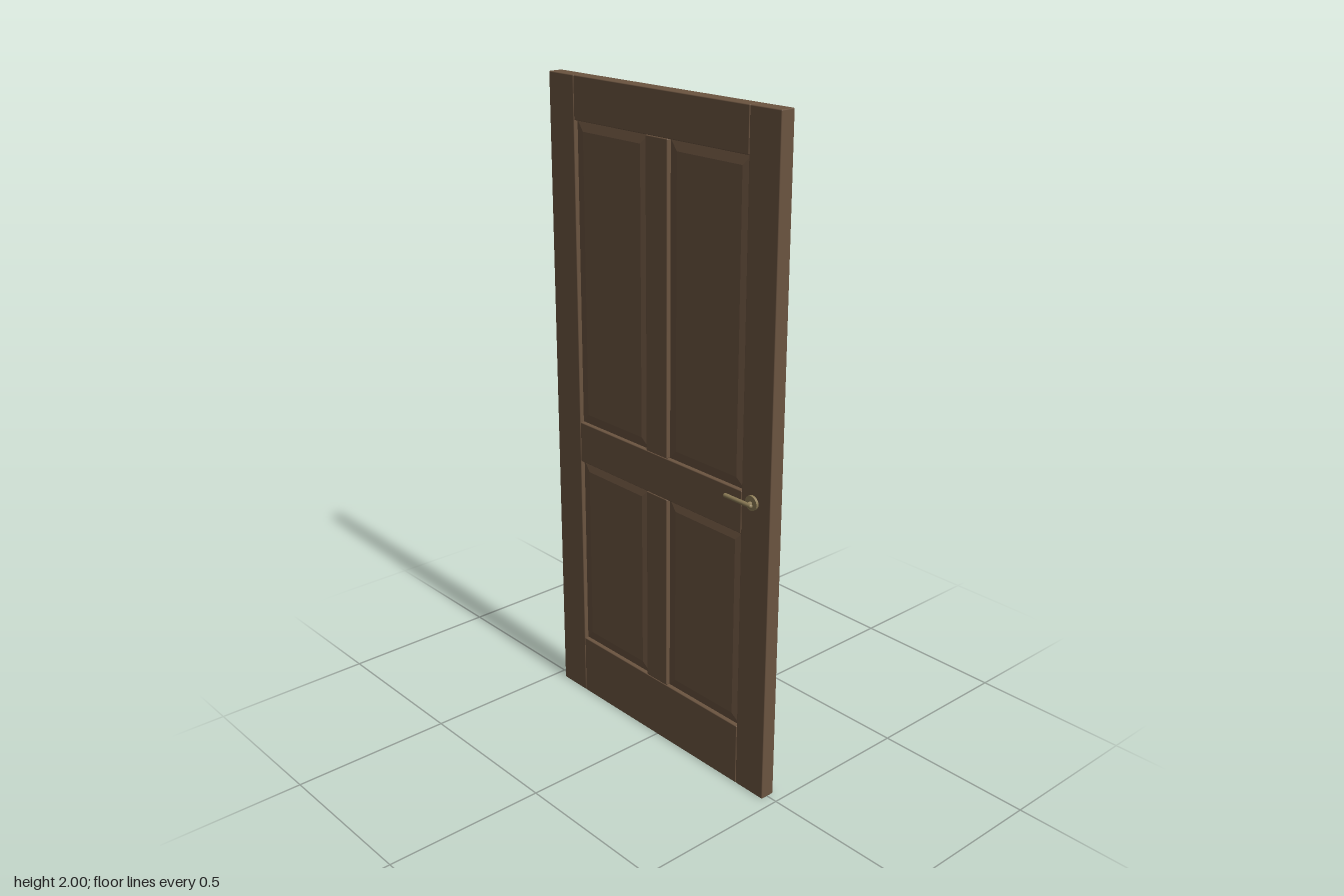
import * as THREE from 'three';
import { RoundedBoxGeometry } from 'three/addons/geometries/RoundedBoxGeometry.js';

const wood = new THREE.MeshStandardMaterial({ color: 0x6b5440 });
wood.name = 'brown wood';
const brass = new THREE.MeshStandardMaterial({ color: 0x8a7a55 });
brass.name = 'aged brass';

const THICK = 0.046;

function add(parent, name, geometry, material, x = 0, y = 0, z = 0) {
  const mesh = new THREE.Mesh(geometry, material);
  mesh.name = name;
  mesh.position.set(x, y, z);
  parent.add(mesh);
  return mesh;
}

// Frame timber with softly eased edges
function timber(parent, name, x0, x1, y0, y1) {
  const geometry = new RoundedBoxGeometry(x1 - x0, y1 - y0, THICK, 2, 0.003);
  add(parent, name, geometry, wood, (x0 + x1) / 2, (y0 + y1) / 2);
}

// Panel with a flat raised field and sloping margins on both faces
function panel(parent, name, x0, x1, y0, y1) {
  const margin = 0.03, core = 0.018, slope = 0.006;
  const w = (x1 - x0) / 2 - margin, h = (y1 - y0) / 2 - margin;
  const field = new THREE.Shape();
  field.moveTo(-w, -h).lineTo(w, -h).lineTo(w, h).lineTo(-w, h).closePath();
  const geometry = new THREE.ExtrudeGeometry(field, {
    depth: core, bevelEnabled: true, bevelThickness: slope,
    bevelSize: margin + 0.004, bevelSegments: 1,
  });
  geometry.translate(0, 0, -core / 2);
  add(parent, name, geometry, wood, (x0 + x1) / 2, (y0 + y1) / 2);
}

// Lever handle for one face of the door, pointing towards the middle
function handle(name) {
  const group = new THREE.Group();
  group.name = name;
  const rose = new THREE.CylinderGeometry(0.022, 0.022, 0.01, 24).rotateX(Math.PI / 2);
  add(group, 'rose', rose, brass, 0, 0, 0.026);
  const neck = new THREE.CylinderGeometry(0.006, 0.006, 0.02, 16).rotateX(Math.PI / 2);
  add(group, 'neck', neck, brass, 0, 0, 0.035);
  const lever = new THREE.CapsuleGeometry(0.0065, 0.098, 5, 16).rotateZ(Math.PI / 2);
  add(group, 'lever', lever, brass, -0.037, 0, 0.0445);
  return group;
}

export function createModel() {
  const door = new THREE.Group();
  door.name = 'panelDoor';

  // Upright stiles and cross rails
  timber(door, 'rightStile', -0.465, -0.354, 0, 2);
  timber(door, 'leftStile', 0.354, 0.465, 0, 2);
  timber(door, 'bottomRail', -0.354, 0.354, 0, 0.195);
  timber(door, 'lockRail', -0.354, 0.354, 0.82, 0.95);
  timber(door, 'topRail', -0.354, 0.354, 1.873, 2);

  // Centre muntins and the panels on either side of them
  for (const [row, y0, y1] of [['lower', 0.195, 0.82], ['upper', 0.95, 1.873]]) {
    timber(door, row + 'Muntin', -0.045, 0.045, y0, y1);
    panel(door, row + 'RightPanel', -0.354, -0.045, y0, y1);
    panel(door, row + 'LeftPanel', 0.045, 0.354, y0, y1);
  }

  // Handles on both faces; the parts are symmetric, so the back one is moved through
  for (const side of [1, -1]) {
    const lever = handle(side > 0 ? 'frontHandle' : 'backHandle');
    lever.position.set(0.398, 0.93, 0);
    for (const part of lever.children) part.position.z *= side;
    door.add(lever);
  }
  return door;
}
